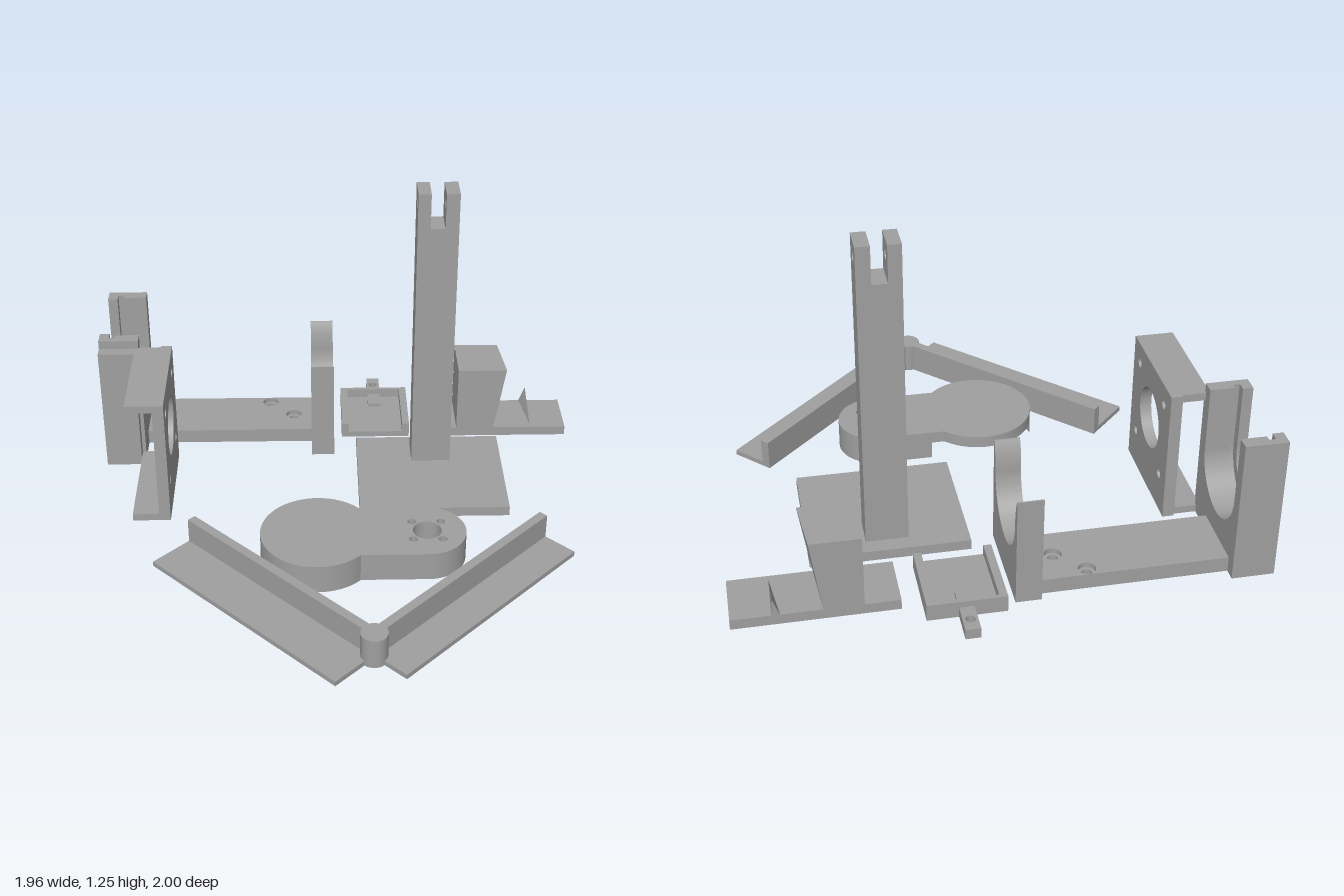
import * as THREE from 'three';
import { toCreasedNormals } from 'three/addons/utils/BufferGeometryUtils.js';
import { ConvexGeometry } from 'three/addons/geometries/ConvexGeometry.js';

const grey = new THREE.MeshStandardMaterial({ color: 0xa0a0a0 });
grey.name = 'plain grey';

function add(parent, name, geometry) {
  const mesh = new THREE.Mesh(geometry, grey);
  mesh.name = name;
  parent.add(mesh);
  return mesh;
}

// box given by its limits on each axis
function box(parent, name, x0, x1, y0, y1, z0, z1) {
  const g = new THREE.BoxGeometry(x1 - x0, y1 - y0, z1 - z0);
  g.translate((x0 + x1) / 2, (y0 + y1) / 2, (z0 + z1) / 2);
  return add(parent, name, g);
}

const extrude = (shape, depth) =>
  new THREE.ExtrudeGeometry(shape, { depth, bevelEnabled: false, curveSegments: 32 });

// shape drawn in (x, z), filling y0..y1
function flat(parent, name, shape, y0, y1) {
  const g = extrude(shape, y1 - y0).rotateX(Math.PI / 2).translate(0, y1, 0);
  return add(parent, name, toCreasedNormals(g, 0.5));
}

// shape drawn in (z, y), filling x0..x1
function across(parent, name, shape, x0, x1) {
  const g = extrude(shape, x1 - x0).rotateY(-Math.PI / 2).translate(x1, 0, 0);
  return add(parent, name, toCreasedNormals(g, 0.5));
}

function rect(a0, a1, b0, b1) {
  return new THREE.Shape([[a0, b0], [a1, b0], [a1, b1], [a0, b1]].map(p => new THREE.Vector2(...p)));
}

function hole(shape, a, b, r) {
  shape.holes.push(new THREE.Path().absarc(a, b, r, 0, Math.PI * 2, true));
}

// U-shaped cradle outline in (z, y); flared ones open out to horn tips
function cradle(half, top, r, flared) {
  const c = -0.643, cy = 0.31;
  const s = new THREE.Shape();
  s.moveTo(c - half, 0);
  s.lineTo(c + half, 0);
  s.lineTo(c + half, top);
  if (flared) {
    s.lineTo(c + half - 0.006, top);
    s.quadraticCurveTo(c + r, cy + 0.07, c + r, cy);
  } else s.lineTo(c + r, top);
  s.absarc(c, cy, r, 0, Math.PI, true);
  if (flared) s.quadraticCurveTo(c - r, cy + 0.07, c - half + 0.006, top);
  else s.lineTo(c - r, top);
  s.lineTo(c - half, top);
  return s;
}

const hull = pts => new ConvexGeometry(pts.map(p => new THREE.Vector3(...p)));

function group(root, name) {
  const g = new THREE.Group();
  g.name = name;
  root.add(g);
  return g;
}

export function createModel() {
  const root = new THREE.Group();
  root.name = 'printed parts set';

  // forked tower on a base plate
  const tower = group(root, 'tower');
  box(tower, 'towerBase', 0.07, 0.67, 0, 0.04, -0.51, 0.01);
  box(tower, 'towerPost', 0.295, 0.455, 0.04, 1.105, -0.447, -0.33);
  for (const [x0, x1] of [[0.295, 0.345], [0.402, 0.455]]) {
    const prong = rect(-0.447, -0.33, 1.105, 1.25);
    hole(prong, -0.388, 1.19, 0.02);
    across(tower, 'towerProng', prong, x0, x1);
  }

  // beam with a cradle at each end and two countersunk holes
  const holder = group(root, 'cradleHolder');
  for (const [y0, y1, r] of [[0, 0.04, 0.02], [0.04, 0.06, 0.033]]) {
    const beam = rect(-0.82, -0.12, -0.81, -0.55);
    hole(beam, -0.3, -0.775, r);
    hole(beam, -0.198, -0.672, r);
    flat(holder, 'beam', beam, y0, y1);
  }
  across(holder, 'smallCradle', cradle(0.198, 0.43, 0.165, true), -0.12, -0.025);
  for (const [x0, x1, r] of [[-0.98, -0.94, 0.15], [-0.94, -0.915, 0.185], [-0.915, -0.82, 0.163]])
    across(holder, 'largeCradle', cradle(0.213, 0.57, r, false), x0, x1);
  box(holder, 'cradleSideBlock', -0.98, -0.835, 0, 0.535, -0.43, -0.385);

  // channel bracket with a large round opening and four screw holes
  const bracket = group(root, 'channelBracket');
  const plate = rect(-0.45, 0.015, 0, 0.535);
  hole(plate, -0.215, 0.302, 0.12);
  for (const dz of [-0.155, 0.155])
    for (const dy of [-0.155, 0.155]) hole(plate, -0.215 + dz, 0.302 + dy, 0.019);
  across(bracket, 'bracketPlate', plate, -0.73, -0.685);
  box(bracket, 'bracketTopFlange', -0.835, -0.73, 0.503, 0.535, -0.44, 0.015);
  box(bracket, 'bracketBottomFlange', -0.835, -0.73, 0, 0.03, -0.44, 0.015);

  // small open tray with a drilled tongue
  const tray = group(root, 'tray');
  box(tray, 'trayFloor', 0.01, 0.3, 0, 0.025, -0.88, -0.58);
  box(tray, 'trayWall', 0.01, 0.04, 0.025, 0.065, -0.88, -0.58);
  box(tray, 'trayWall', 0.27, 0.3, 0.025, 0.065, -0.88, -0.58);
  box(tray, 'trayBackWall', 0.04, 0.27, 0.025, 0.065, -0.88, -0.865);
  const tongue = rect(0.13, 0.185, -1, -0.88);
  hole(tongue, 0.157, -0.945, 0.018);
  flat(tray, 'tongue', tongue, 0, 0.04);
  box(tray, 'tongueRoot', 0.13, 0.185, 0.025, 0.04, -0.865, -0.785);

  // strip with a leaning block and a small pointed fin
  const stop = group(root, 'stop');
  box(stop, 'stopBase', 0.375, 0.975, 0, 0.04, -0.8, -0.58);
  add(stop, 'stopBlock', hull([
    [0.505, 0.04, -0.8], [0.505, 0.04, -0.58], [0.505, 0.325, -0.8], [0.505, 0.325, -0.58],
    [0.65, 0.04, -0.8], [0.665, 0.04, -0.58], [0.69, 0.325, -0.8], [0.71, 0.325, -0.58]]));
  add(stop, 'stopFin', hull([
    [0.8, 0.04, -0.8], [0.83, 0.04, -0.8], [0.825, 0.107, -0.8], [0.826, 0.04, -0.6]]));

  // rounded arm: full outline on top, hollowed crescent underneath
  const arm = group(root, 'arm');
  const cx = -0.1, cz = 0.262, R = 0.22, ex = 0.32, e = 0.15;
  const joint = Math.asin(e / R);
  const drill = s => {
    hole(s, ex, cz, 0.055);
    for (const dx of [-0.056, 0.056])
      for (const dz of [-0.056, 0.056]) hole(s, ex + dx, cz + dz, 0.017);
  };
  const top = new THREE.Shape();
  top.absarc(cx, cz, R, joint, Math.PI * 2 - joint, false);
  top.absarc(ex, cz, e, -Math.PI / 2, Math.PI / 2, false);
  drill(top);
  flat(arm, 'armTop', top, 0.07, 0.118);

  const shift = 0.09;
  const tip = Math.asin(shift / 2 / R);
  const edge = Math.asin((e - shift) / R);
  const under = new THREE.Shape();
  under.absarc(ex, cz, e, -Math.PI / 2, Math.PI / 2, false);
  under.absarc(cx, cz, R, joint, Math.PI + tip, false);
  under.absarc(cx, cz - shift, R, Math.PI - tip, -edge, true);
  drill(under);
  flat(arm, 'armUnderside', under, 0, 0.07);

  // two angled rails meeting at a round post
  const rails = group(root, 'angledRails');
  rails.position.set(0.095, 0, 0.855);
  add(rails, 'cornerPost', new THREE.CylinderGeometry(0.05, 0.05, 0.12, 32).translate(0, 0.06, 0));
  for (const [angle, side, width] of [[Math.PI / 4, 1, 0.155], [Math.PI * 0.75, -1, 0.198]]) {
    const rail = group(rails, side > 0 ? 'leftRail' : 'rightRail');
    rail.rotation.y = angle;
    const span = (a, b) => (side > 0 ? [a, b] : [-b, -a]);
    box(rail, 'railFoot', 0, 0.969, 0, 0.02, ...span(-0.021, width));
    box(rail, 'railWall', 0.03, 0.969, 0.02, 0.12, ...span(-0.021, 0.015));
  }
  return root;
}
